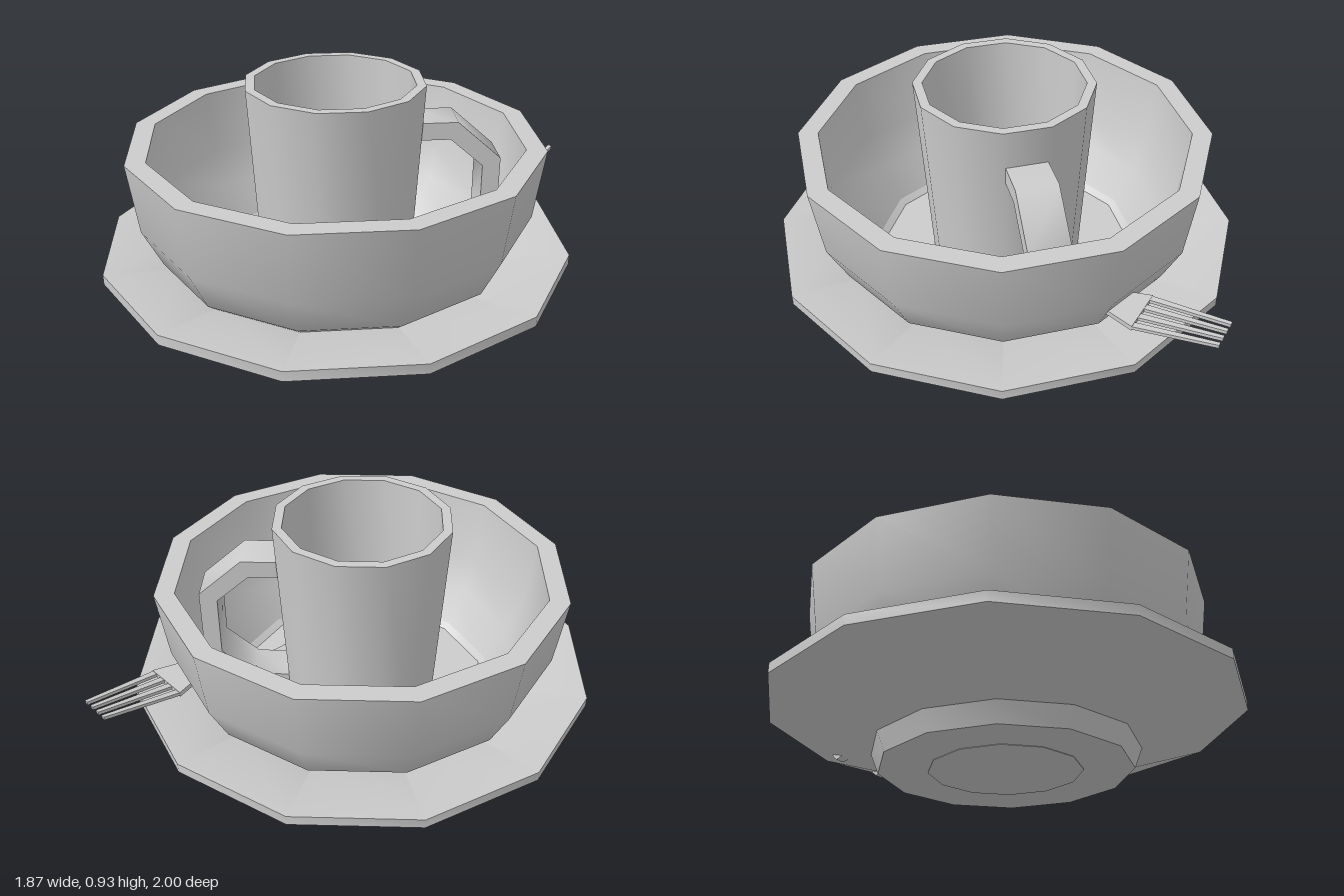
import * as THREE from 'three';
import { toCreasedNormals } from 'three/addons/utils/BufferGeometryUtils.js';

const grey = new THREE.MeshStandardMaterial({ color: 0xcccccc });
const CENTER_Z = 0.066; // axis of the stacked crockery
const SIDES = 12;

function part(name, geometry, crease = 0.6) {
  const mesh = new THREE.Mesh(toCreasedNormals(geometry, crease), grey);
  mesh.name = name;
  return mesh;
}

// Turned vessel: profile runs from the underside centre, up the outside, then down the inside
function turned(name, profile) {
  const points = profile.map(([r, y]) => new THREE.Vector2(r, y));
  return part(name, new THREE.LatheGeometry(points, SIDES));
}

// Flat bar lofted through stations [z, y, x, width], running towards -z
function bar(name, stations, thickness) {
  const pos = [], idx = [];
  for (const [z, y, x, w] of stations) {
    const a = w / 2, t = thickness / 2;
    pos.push(x - a, y - t, z, x + a, y - t, z, x + a, y + t, z, x - a, y + t, z);
  }
  for (let s = 0; s < stations.length - 1; s++) {
    for (let k = 0; k < 4; k++) {
      const a = s * 4 + k, b = s * 4 + (k + 1) % 4;
      idx.push(a, b + 4, b, a, a + 4, b + 4);
    }
  }
  const e = (stations.length - 1) * 4;
  idx.push(0, 1, 2, 0, 2, 3, e, e + 2, e + 1, e, e + 3, e + 2);
  const geometry = new THREE.BufferGeometry();
  geometry.setAttribute('position', new THREE.Float32BufferAttribute(pos, 3));
  geometry.setIndex(idx);
  return part(name, geometry, 0.5);
}

function createCup() {
  const cup = new THREE.Group();
  cup.name = 'cup';
  cup.add(turned('cupBody', [
    [0, 0], [0.297, 0], [0.349, 0.93], [0.312, 0.93], [0.283, 0.1], [0, 0.1],
  ]));

  // Angular C-shaped handle, turned towards the back left
  const outline = [
    [0.315, 0.775], [0.467, 0.775], [0.64, 0.62], [0.64, 0.31], [0.467, 0.155], [0.285, 0.155],
    [0.285, 0.225], [0.44, 0.225], [0.57, 0.34], [0.57, 0.59], [0.44, 0.705], [0.315, 0.705],
  ];
  const shape = new THREE.Shape(outline.map(([x, y]) => new THREE.Vector2(x, y)));
  const width = 0.16;
  const geometry = new THREE.ExtrudeGeometry(shape, { depth: width, bevelEnabled: false });
  geometry.translate(0, 0, -width / 2);
  const handle = part('cupHandle', geometry, 0.9);
  handle.rotation.y = Math.PI / 4;
  cup.add(handle);
  return cup;
}

function createFork() {
  const fork = new THREE.Group();
  fork.name = 'fork';
  // Handle rises from the bowl floor to the palm
  fork.add(bar('forkHandle', [
    [0.32, 0.155, 0.31, 0.02], [0.25, 0.16, 0.345, 0.075], [-0.1, 0.19, 0.32, 0.055],
    [-0.48, 0.25, 0.305, 0.045], [-0.54, 0.356, 0.31, 0.1], [-0.69, 0.36, 0.31, 0.185],
  ], 0.02));
  // Four tines converge slightly towards the tips
  for (let i = 0; i < 4; i++) {
    const k = i - 1.5;
    fork.add(bar('forkTine', [
      [-0.685, 0.36, 0.31 + k * 0.052, 0.026], [-1, 0.408, 0.312 + k * 0.038, 0.016],
    ], 0.014));
  }
  return fork;
}

export function createModel() {
  const model = new THREE.Group();
  model.name = 'stackedTableware';

  // Crockery sharing one upright axis
  const crockery = new THREE.Group();
  crockery.name = 'crockery';
  crockery.position.z = CENTER_Z;
  crockery.add(turned('plate', [
    [0, 0.002], [0.49, 0.002], [0.52, 0.08], [0.933, 0.225],
    [0.933, 0.265], [0.64, 0.235], [0.5, 0.12], [0, 0.1],
  ]));
  crockery.add(turned('bowl', [
    [0, 0.03], [0.4, 0.03], [0.5, 0.105], [0.7, 0.265], [0.775, 0.42], [0.812, 0.7],
    [0.733, 0.7], [0.7, 0.44], [0.635, 0.3], [0.537, 0.14], [0, 0.14],
  ]));
  crockery.add(createCup());
  model.add(crockery);

  // Cutlery under the bowl, only the tips showing below the plate
  model.add(createFork());
  model.add(bar('knife', [
    [0.49, 0.07, -0.12, 0.03], [0.44, 0.07, -0.12, 0.08], [-0.1, 0.075, -0.1, 0.06],
    [-0.5, 0.13, -0.12, 0.06], [-0.63, 0.172, -0.13, 0.05], [-0.67, 0.162, -0.13, 0.04],
    [-0.7, 0.185, -0.13, 0.02],
  ], 0.025));
  model.add(bar('spoon', [
    [0.45, 0.07, 0.12, 0.06], [-0.1, 0.075, 0.12, 0.04], [-0.5, 0.13, 0.12, 0.09],
    [-0.63, 0.172, 0.12, 0.05], [-0.67, 0.162, 0.12, 0.04], [-0.7, 0.185, 0.12, 0.02],
  ], 0.025));
  return model;
}
